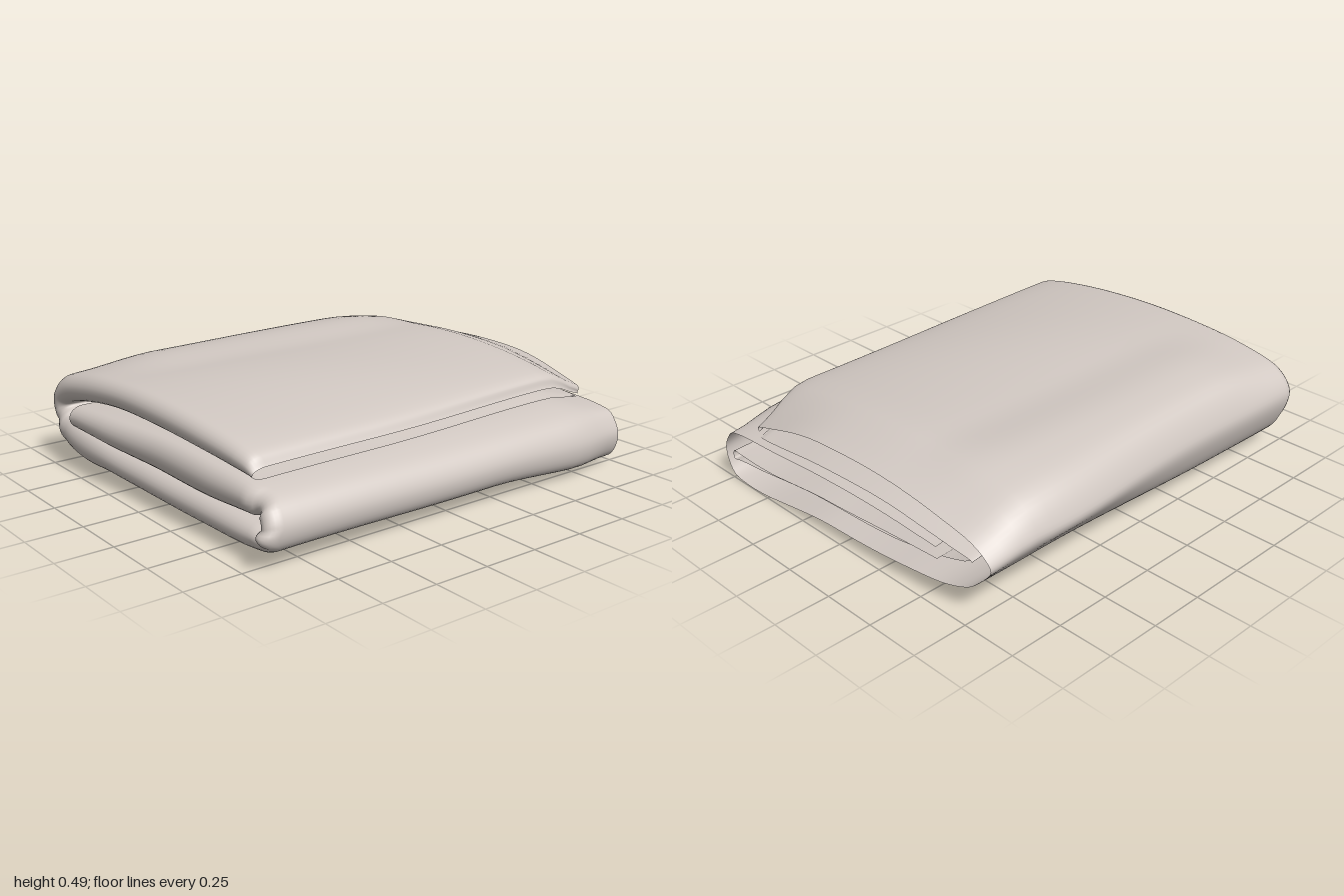
import * as THREE from 'three';

// Matching points [outer x, outer y, inner x, inner y, front z, back z]
// along the rolled cross-section, from the tucked-in end to the top flap edge.
const SECTION = [
  [-0.575, 0.305, -0.58, 0.20, 1.0, -0.98],
  [-0.30, 0.32, -0.30, 0.19, 0.99, -0.98],
  [0.05, 0.33, 0.05, 0.18, 0.96, -0.99],
  [0.40, 0.32, 0.40, 0.17, 0.95, -1.0],
  [0.68, 0.295, 0.68, 0.175, 0.93, -1.0],
  [0.80, 0.25, 0.74, 0.175, 0.93, -1.0],
  [0.845, 0.17, 0.755, 0.155, 0.94, -1.0],
  [0.82, 0.085, 0.745, 0.135, 0.94, -1.0],
  [0.70, 0.045, 0.67, 0.145, 0.93, -1.0],
  [0.35, 0.04, 0.35, 0.16, 0.94, -0.99],
  [0.00, 0.045, 0.00, 0.165, 0.95, -0.98],
  [-0.35, 0.04, -0.35, 0.165, 0.95, -0.97],
  [-0.60, 0.04, -0.60, 0.20, 0.96, -0.95],
  [-0.73, 0.085, -0.69, 0.24, 0.97, -0.94],
  [-0.80, 0.19, -0.725, 0.265, 0.97, -0.94],
  [-0.82, 0.30, -0.71, 0.28, 0.975, -0.94],
  [-0.75, 0.39, -0.65, 0.30, 0.975, -0.945],
  [-0.55, 0.445, -0.50, 0.33, 0.97, -0.95],
  [-0.25, 0.48, -0.25, 0.36, 0.96, -0.955],
  [0.05, 0.487, 0.05, 0.365, 0.955, -0.965],
  [0.35, 0.468, 0.35, 0.35, 0.945, -0.97],
  [0.60, 0.43, 0.57, 0.33, 0.93, -0.97],
  [0.67, 0.405, 0.65, 0.32, 0.92, -0.965],
  [0.70, 0.365, 0.69, 0.315, 0.91, -0.96],
];
const ALONG = (SECTION.length - 1) * 6;
const RUN = 24; // rows on each of the two sheets
const ARC = 12; // rows round the front crease
const smooth = THREE.MathUtils.smoothstep;

const curve = (i, j) =>
  new THREE.CatmullRomCurve3(SECTION.map((p) => new THREE.Vector3(p[i], p[j], 0)));
const bump = (z, centre, width) => Math.exp(-(((z - centre) / width) ** 2));

// Uneven shape of the bundle from front to back
function drape(p, u) {
  const { x, y, z } = p;
  const back = smooth(-z, 0.68, 1.03);
  const lower = 1 - smooth(y, 0.05, 0.35);
  const upper = smooth(y, 0.3, 0.42);
  const flap = smooth(u, 0.86, 1);
  // flap edge runs askew
  p.x -= flap * (0.045 * (0.9 - z) / 1.9 + 0.025 * smooth(-z, -0.3, 0.6) + 0.06 * back);
  // side folds bulge and narrow towards the back
  p.x -= 0.055 * back * smooth(x, 0.7, 0.84);
  p.x -= smooth(-x, 0.6, 0.82) *
    (0.03 * bump(z, -0.5, 0.35) * smooth(y, 0.12, 0.3) - 0.015 * bump(z, 0.4, 0.4));
  // upper left shoulder is fuller in the middle
  p.y += 0.04 * (1 - smooth(Math.abs(z), 0.5, 0.97)) * upper * smooth(-x, 0.25, 0.6);
  // underside dips at the back right and lifts towards the back left
  p.y -= 0.036 * lower * smooth(-z, 0.2, 0.8) * smooth(x, 0.1, 0.6);
  p.y += 0.055 * lower * smooth(-z, -0.5, 0.6) * smooth(-x, 0, 0.8);
  // upper layers settle at the back, the flap corner most
  p.y -= back * 0.085 * smooth(y, 0.1, 0.45);
  p.y -= back * 0.04 * upper * smooth(x, 0.15, 0.6);
  // soft ripples
  p.y += 0.004 * Math.sin(4.5 * z + 2 * x) * Math.cos(3 * x);
}

// One sheet doubled over at the front, then rolled in three layers
function foldedSheet() {
  const outer = curve(0, 1), inner = curve(2, 3), ends = curve(4, 5);
  const rows = 2 * RUN + ARC;
  const geometry = new THREE.PlaneGeometry(1, 1, ALONG, rows);
  const pos = geometry.attributes.position;
  const o = new THREE.Vector3(), n = new THREE.Vector3(), e = new THREE.Vector3();
  const p = new THREE.Vector3();
  for (let i = 0; i < pos.count; i++) {
    const u = pos.getX(i) + 0.5;
    const row = Math.round((pos.getY(i) + 0.5) * rows);
    outer.getPoint(u, o);
    inner.getPoint(u, n);
    ends.getPoint(u, e);
    const crease = 0.065, start = e.x - crease;
    if (row <= RUN) {
      p.copy(n).setZ(THREE.MathUtils.lerp(e.y, start, row / RUN));
    } else if (row >= RUN + ARC) {
      p.copy(o).setZ(THREE.MathUtils.lerp(start, e.y, (row - RUN - ARC) / RUN));
    } else {
      const a = (Math.PI * (row - RUN)) / ARC;
      p.copy(n).lerp(o, 0.5 - 0.5 * Math.cos(a)).setZ(start + crease * Math.sin(a));
    }
    drape(p, u);
    pos.setXYZ(i, p.x, p.y, p.z);
  }
  geometry.computeBoundingBox();
  geometry.translate(0, -geometry.boundingBox.min.y, 0);
  geometry.computeVertexNormals();
  return geometry;
}

export function createModel() {
  const group = new THREE.Group();
  group.name = 'foldedCloth';
  const fabric = new THREE.MeshStandardMaterial({ color: 0xd2c9c3, side: THREE.DoubleSide });
  fabric.name = 'warm grey fabric';
  const cloth = new THREE.Mesh(foldedSheet(), fabric);
  cloth.name = 'clothSheet';
  group.add(cloth);
  return group;
}
